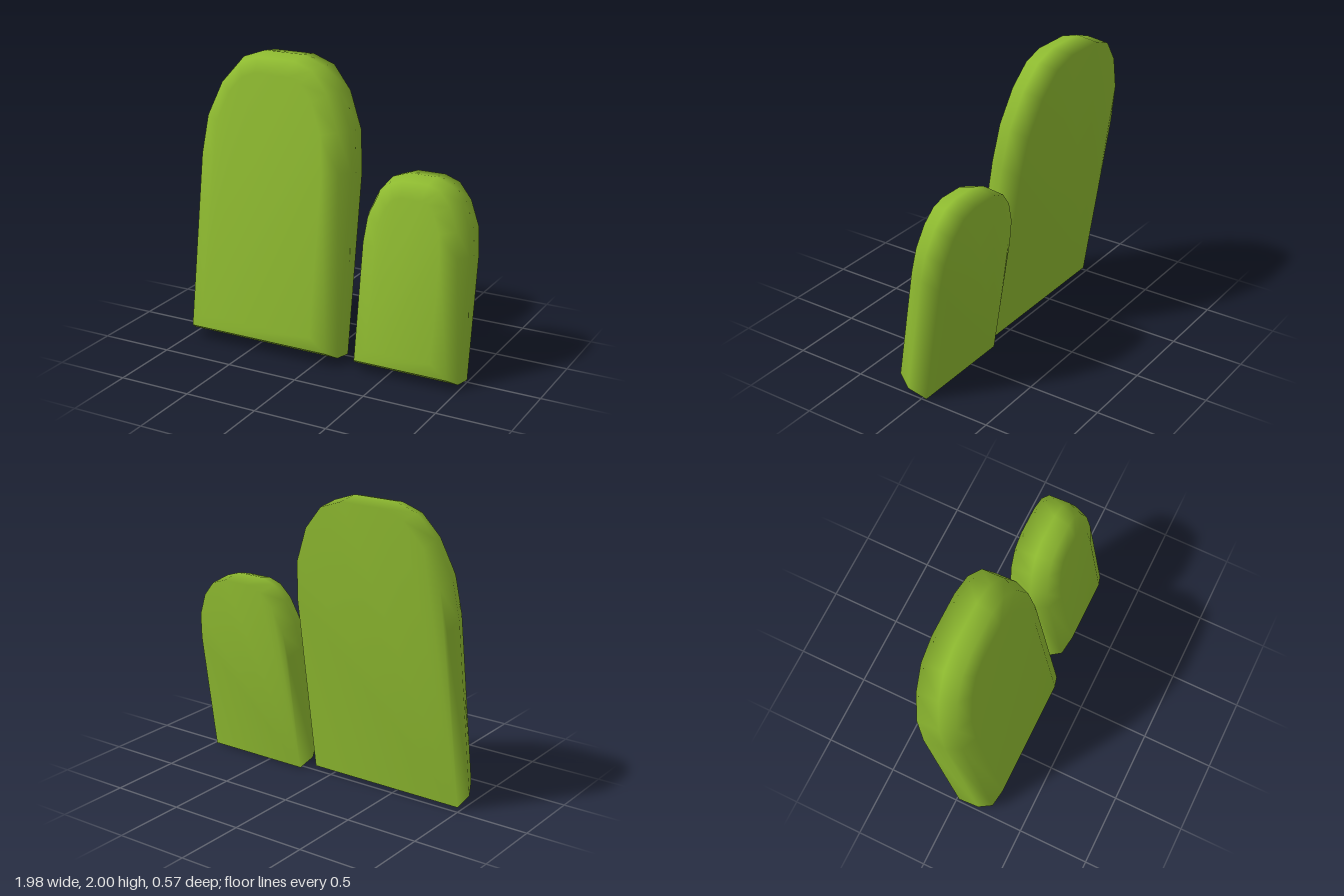
import * as THREE from 'three';

// Cross-sections from back to front: depth, and how far the outline is drawn in
const RINGS = [[0, 0], [0.15, 0.003], [0.25, 0.045], [0.297, 0.147]];

// Rounded crown of the large slab: half width, drop below the top
const CROWN = [[0.565, 0.729], [0.535, 0.456], [0.436, 0.213], [0.303, 0.056], [0.145, 0]];

// Outline, anticlockwise from the bottom left corner
function outline(bottom, top, sx, sy) {
  const side = CROWN.map(([x, drop]) => new THREE.Vector2(x * sx, top - drop * sy));
  const w = side[0].x;
  return [
    new THREE.Vector2(-w, bottom),
    new THREE.Vector2(w, bottom),
    ...side,
    ...side.map((p) => new THREE.Vector2(-p.x, p.y)).reverse(),
  ];
}

// Move every edge of a convex outline inwards by d
function inset(points, d) {
  const n = points.length;
  return points.map((p, i) => {
    const a = p.clone().sub(points[(i + n - 1) % n]).normalize();
    const b = points[(i + 1) % n].clone().sub(p).normalize();
    const na = new THREE.Vector2(-a.y, a.x);
    const nb = new THREE.Vector2(-b.y, b.x);
    const k = d / (1 + na.dot(nb));
    return p.clone().add(na.add(nb).multiplyScalar(k));
  });
}

function slabGeometry(points) {
  const n = points.length;
  const positions = [];
  const index = [];
  const rings = RINGS.map(([z, d]) => inset(points, d).map((p) => [p.x, p.y, z]));
  rings.forEach((ring) => ring.forEach((p) => positions.push(...p)));

  // Rim and bevel
  for (let r = 0; r < RINGS.length - 1; r++) {
    for (let i = 0; i < n; i++) {
      const j = (i + 1) % n;
      let quad = [r * n + i, r * n + j, (r + 1) * n + j, (r + 1) * n + i];
      if (i === 0 && r < 2) {
        // The underside keeps its own corners so its edges stay sharp
        const base = positions.length / 3;
        [rings[r][i], rings[r][j], rings[r + 1][j], rings[r + 1][i]].forEach((p) => positions.push(...p));
        quad = [base, base + 1, base + 2, base + 3];
      }
      const [a, b, c, d] = quad;
      index.push(a, b, c, a, c, d);
    }
  }

  // Back and front faces, fanned from the bottom left corner
  const front = (RINGS.length - 1) * n;
  for (let i = 1; i < n - 1; i++) {
    index.push(0, i + 1, i);
    index.push(front, front + i, front + i + 1);
  }

  const geometry = new THREE.BufferGeometry();
  geometry.setAttribute('position', new THREE.Float32BufferAttribute(positions, 3));
  geometry.setIndex(index);
  geometry.computeVertexNormals();
  return geometry;
}

export function createModel() {
  const model = new THREE.Group();
  model.name = 'roundedSlabs';
  const green = new THREE.MeshStandardMaterial({ color: 0x8eba30 });
  green.name = 'leafGreen';

  // Both slabs lean back by the same angle
  const tilted = new THREE.Group();
  tilted.name = 'leaningSlabs';
  tilted.rotation.x = THREE.MathUtils.degToRad(-8.8);
  model.add(tilted);

  const addSlab = (name, points, x, z) => {
    const mesh = new THREE.Mesh(slabGeometry(points), green);
    mesh.name = name;
    mesh.position.set(x, 0, z);
    tilted.add(mesh);
  };
  addSlab('largeSlab', outline(0.019, 1.998, 1, 1), -0.425, 0.022);
  addSlab('smallSlab', outline(0.004, 1.323, 0.664, 0.655), 0.612, -0.029);

  return model;
}
